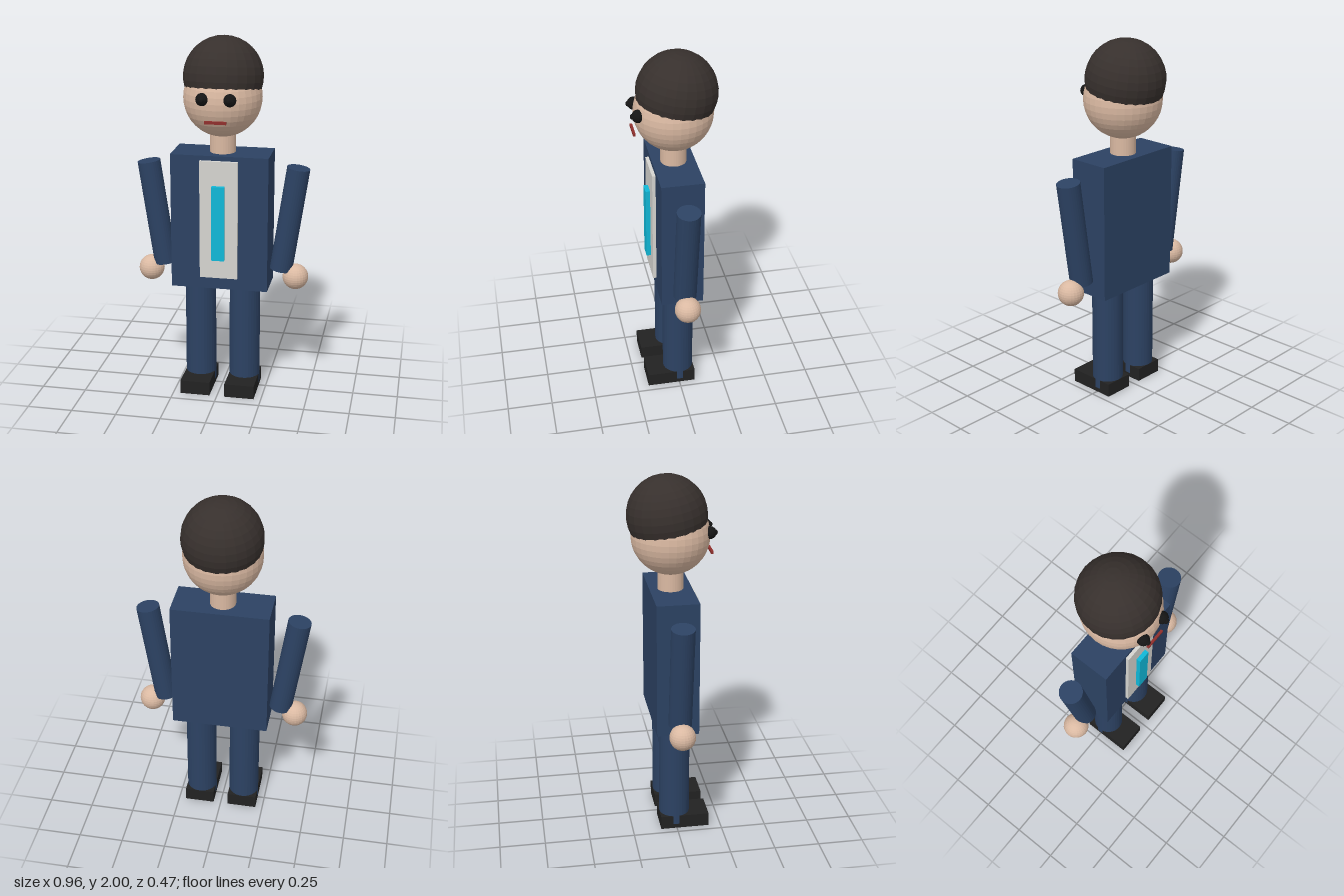
import * as THREE from 'three';

const mat = (color, side = THREE.FrontSide) => {
  const m = new THREE.MeshStandardMaterial({ color, side, flatShading: true });
  return m;
};

export function createModel() {
  const model = new THREE.Group();
  model.name = 'suitedFigure';
  const suit = mat(0x2c4263), skin = mat(0xdab9a2), black = mat(0x151515);
  const Z = -0.004; // body axis

  const add = (name, geometry, material, x, y, z) => {
    const mesh = new THREE.Mesh(geometry, material);
    mesh.name = name;
    mesh.position.set(x, y, z);
    model.add(mesh);
    return mesh;
  };
  const box = (w, h, d) => new THREE.BoxGeometry(w, h, d);
  const ball = (r, w = 32, h = 20) => new THREE.SphereGeometry(r, w, h);
  const rod = (r, h) => new THREE.CylinderGeometry(r, r, h, 32);

  // Torso with shirt panel and tie
  add('torso', box(0.534, 0.755, 0.231), suit, 0, 1.0, Z);
  add('shirt', box(0.208, 0.66, 0.03), mat(0xd6d5d0), 0, 1.022, 0.115);
  add('tie', box(0.07, 0.417, 0.034), mat(0x10b8d8), 0, 1.009, 0.137);

  // Head
  add('neck', rod(0.07, 0.18), skin, 0, 1.44, Z);
  add('head', ball(0.212), skin, 0, 1.676, Z);

  // Hair cap, lower at the back
  const cap = new THREE.SphereGeometry(0.216, 24, 10, 0, Math.PI * 2, 0, Math.PI * 0.6);
  add('hair', cap, mat(0x37302d, THREE.DoubleSide), 0, 1.785, -0.022).rotation.x = -0.15;

  // Mouth
  add('mouth', box(0.115, 0.015, 0.013), mat(0x8f2f2c), 0, 1.583, 0.212);

  // Paired parts
  for (const [side, s] of [['left', 1], ['right', -1]]) {
    add(side + 'Eye', ball(0.034, 16, 12), black, s * 0.074, 1.7, 0.194);
    add(side + 'Pupil', ball(0.016, 12, 8), black, s * 0.073, 1.7, 0.22);
    // Arms lean inwards towards the hips
    add(side + 'Arm', rod(0.063, 0.59), suit, s * 0.371, 1.013, Z).rotation.z = -s * 0.147;
    add(side + 'Hand', ball(0.071, 24, 16), skin, s * 0.408, 0.682, Z);
    add(side + 'Leg', rod(0.0855, 0.62), suit, s * 0.126, 0.335, Z);
    add(side + 'Shoe', box(0.167, 0.077, 0.272), mat(0x222222), s * 0.126, 0.0385, 0.046);
  }
  return model;
}
